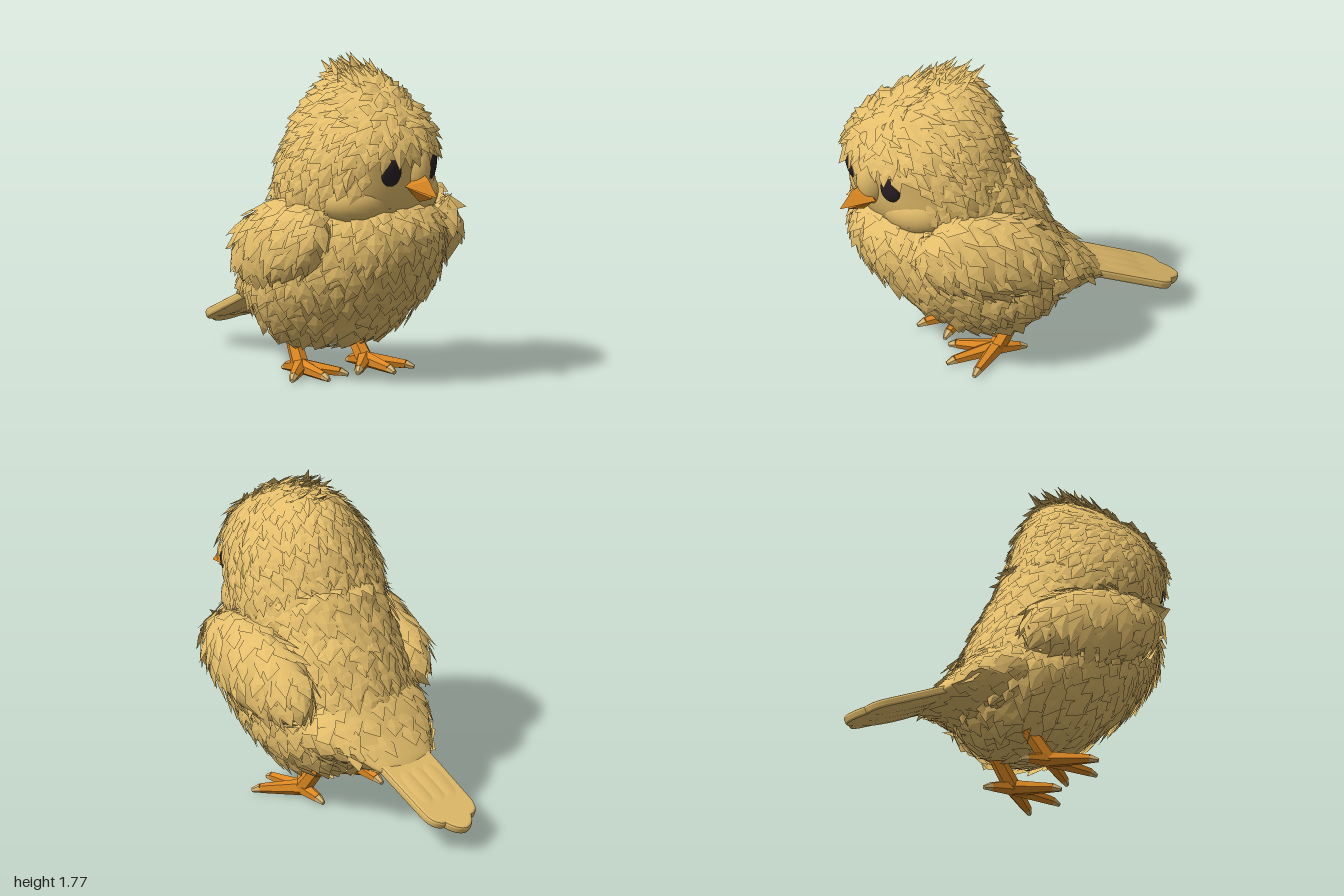
import * as THREE from 'three';
import { ParametricGeometry } from 'three/addons/geometries/ParametricGeometry.js';
import { ConvexGeometry } from 'three/addons/geometries/ConvexGeometry.js';

const V = (x, y, z) => new THREE.Vector3(x, y, z);

export function createModel() {
  const model = new THREE.Group();
  const mat = (name, color, opts = {}) => {
    const m = new THREE.MeshStandardMaterial({ color, ...opts });
    m.name = name;
    return m;
  };
  const plumage = mat('golden plumage', 0xe3bd6b, { side: THREE.DoubleSide });
  const orange = mat('orange skin', 0xdb8722);
  const claw = mat('pale claw', 0xd9b571);
  const dark = mat('dark eye', 0x2a2024);

  let seed = 7;
  const rand = () => (seed = (seed * 16807) % 2147483647) / 2147483647;
  const jitter = (a) => (rand() * 2 - 1) * a;

  const add = (name, geometry, material, parent = model) => {
    const m = new THREE.Mesh(geometry, material);
    m.name = name;
    parent.add(m);
    return m;
  };
  const flat = (g) => {
    const f = g.index ? g.toNonIndexed() : g;
    f.computeVertexNormals();
    return f;
  };

  // Surface through upright oval sections: [y, frontZ, backZ, minX, maxX]
  const ovalStack = (rows) => {
    const a = new THREE.CatmullRomCurve3(rows.map((r) => V(r[0], r[1], r[2])));
    const b = new THREE.CatmullRomCurve3(rows.map((r) => V(r[3], r[4], 0)));
    return (u, v) => {
      const p = a.getPoint(v), q = b.getPoint(v), t = u * Math.PI * 2;
      return V((q.x + q.y) / 2 + (q.y - q.x) / 2 * Math.sin(t), p.x,
        (p.y + p.z) / 2 + (p.y - p.z) / 2 * Math.cos(t));
    };
  };
  const normalAt = (S, u, v) => {
    const e = 0.004;
    const du = S(u + e, v).sub(S(u - e, v));
    const dv = S(u, Math.min(1, v + e)).sub(S(u, Math.max(0, v - e)));
    return du.cross(dv).normalize();
  };
  const addSkin = (name, S) =>
    add(name, new ParametricGeometry((u, v, t) => t.copy(S(u, v)), 40, 28), plumage);

  // One ridged, pointed feather lying on a surface
  const feather = (out, p, n, dir, len, wide, lift) => {
    const d = dir.clone().addScaledVector(n, -dir.dot(n)).normalize();
    const s = n.clone().cross(d);
    const at = (along, side, up) =>
      p.clone().addScaledVector(d, along).addScaledVector(s, side).addScaledVector(n, up);
    const root = at(-len * 0.5, 0, -0.006);
    const left = at(len * (0.08 + jitter(0.12)), -wide / 2, lift * 0.4);
    const right = at(len * (0.08 + jitter(0.12)), wide / 2, lift * 0.4);
    const ridge = at(len * 0.1, 0, lift * 0.7);
    const tip = at(len * 0.58, jitter(wide * 0.3), lift);
    for (const q of [root, left, ridge, root, ridge, right, left, tip, ridge, ridge, tip, right])
      out.push(q.x, q.y, q.z);
  };
  const addFeathers = (name, out) => {
    const g = new THREE.BufferGeometry();
    g.setAttribute('position', new THREE.Float32BufferAttribute(out, 3));
    g.computeVertexNormals();
    add(name, g, plumage);
  };
  // Staggered rows of feathers over a whole surface
  const coat = (name, S, rows, len, wide, lift, dir, skip = () => false) => {
    const out = [];
    for (let k = 0; k < rows; k++) {
      const v0 = (k + 0.5) / rows;
      let around = 0;
      for (let i = 0; i < 16; i++) around += S(i / 16, v0).distanceTo(S((i + 1) / 16, v0));
      const count = Math.max(4, Math.round(around / (wide * 0.85)));
      for (let i = 0; i < count; i++) {
        const u = (i + (k % 2) * 0.5 + jitter(0.3)) / count;
        const v = THREE.MathUtils.clamp(v0 + jitter(0.35) / rows, 0.01, 0.99);
        const p = S(u, v);
        if (skip(p)) continue;
        const way = dir.clone().add(V(jitter(0.25), jitter(0.15), jitter(0.25)));
        feather(out, p, normalAt(S, u, v), way, len * (1 + jitter(0.25)),
          wide * (1 + jitter(0.25)), lift * (1 + jitter(0.45)));
      }
    }
    addFeathers(name, out);
  };

  // Body
  const body = ovalStack([
    [0.17, 0.13, 0.11, -0.01, 0.01], [0.19, 0.3, -0.08, -0.25, 0.25],
    [0.28, 0.46, -0.22, -0.38, 0.38], [0.4, 0.59, -0.31, -0.46, 0.46],
    [0.5, 0.69, -0.31, -0.5, 0.5], [0.6, 0.765, -0.275, -0.51, 0.51],
    [0.7, 0.82, -0.24, -0.5, 0.5], [0.8, 0.85, -0.2, -0.48, 0.48],
    [0.9, 0.845, -0.16, -0.45, 0.44], [0.98, 0.79, -0.12, -0.42, 0.38],
    [1.1, 0.62, -0.06, -0.38, 0.34], [1.2, 0.5, -0.01, -0.3, 0.25], [1.24, 0.4, 0.38, -0.02, 0.0]]);
  addSkin('body', body);
  coat('bodyFeathers', body, 20, 0.145, 0.1, 0.026, V(0, -1, -0.45));

  // Rump narrowing into the tail: [z, topY, bottomY, halfWidth]
  const rumpRows = [[0.1, 0.74, 0.26, 0.43], [-0.15, 0.71, 0.27, 0.4], [-0.3, 0.6, 0.32, 0.32],
    [-0.4, 0.49, 0.32, 0.24], [-0.5, 0.39, 0.31, 0.165], [-0.53, 0.355, 0.335, 0.02]];
  const rumpA = new THREE.CatmullRomCurve3(rumpRows.map((r) => V(r[0], r[1], r[2])));
  const rumpB = new THREE.CatmullRomCurve3(rumpRows.map((r) => V(r[3], 0, 0)));
  const rump = (u, v) => {
    const p = rumpA.getPoint(v), w = rumpB.getPoint(v).x, t = u * Math.PI * 2;
    return V(w * Math.sin(t), (p.y + p.z) / 2 + (p.y - p.z) / 2 * Math.cos(t), p.x);
  };
  addSkin('rump', rump);
  coat('rumpFeathers', rump, 9, 0.15, 0.11, 0.015, V(0, -0.5, -1), (p) => p.z < -0.42);

  // Head
  const head = ovalStack([
    [0.88, 0.3, 0.28, -0.03, 0.0], [0.9, 0.7, 0.1, -0.32, 0.27],
    [0.97, 0.79, 0.0, -0.42, 0.36], [1.07, 0.835, -0.015, -0.46, 0.39],
    [1.2, 0.865, 0.0, -0.455, 0.38], [1.3, 0.885, 0.025, -0.425, 0.365],
    [1.4, 0.86, 0.05, -0.375, 0.335], [1.5, 0.78, 0.09, -0.3, 0.275],
    [1.6, 0.64, 0.15, -0.19, 0.18], [1.66, 0.5, 0.22, -0.1, 0.09],
    [1.68, 0.4, 0.38, -0.01, 0.01]]);
  addSkin('head', head);
  const bareFace = (p) => p.z > 0.6 && p.y < 1.28 && p.x > -0.23;
  coat('headFeathers', head, 19, 0.13, 0.075, 0.027, V(0, -0.9, -0.6), bareFace);

  // Smooth face: broad cheeks above the breast and a bridge behind the beak
  for (const [name, x, y, z, yaw, w, h, d] of [
    ['rightCheek', -0.2, 1.04, 0.67, -0.35, 0.2, 0.13, 0.14],
    ['leftCheek', 0.22, 1.04, 0.61, 0.75, 0.19, 0.13, 0.12],
    ['faceBridge', 0.09, 1.21, 0.79, 0.2, 0.085, 0.15, 0.105]]) {
    const bulge = add(name, new THREE.SphereGeometry(1, 20, 14), plumage);
    bulge.scale.set(w, h, d);
    bulge.position.set(x, y, z);
    bulge.rotation.y = yaw;
  }

  // Crest swept up and back over the crown
  const crest = [];
  for (let i = 0; i < 34; i++) {
    const x = jitter(0.12), z = 0.22 + rand() * 0.42;
    const y = 1.66 - 1.6 * x * x - 1.5 * (z - 0.38) ** 2;
    feather(crest, V(x, y + 0.01, z), V(x * 1.5 + jitter(0.2), 1, 0.4).normalize(),
      V(x + jitter(0.3), 0.5, -1), 0.18 + rand() * 0.08, 0.06, 0.03 + rand() * 0.025);
  }
  for (const [x, y, z] of [[-0.03, 1.68, 0.4], [0.0, 1.66, 0.36], [-0.11, 1.62, 0.4], [0.05, 1.63, 0.42],
    [0.1, 1.54, 0.64], [0.12, 1.48, 0.72], [0.08, 1.46, 0.76], [0.0, 1.63, 0.25]])
    feather(crest, V(x, y, z), V(0, 0.5, 0.85).normalize(), V(x * 2, 1, -0.6), 0.17, 0.07, 0.025);
  addFeathers('crest', crest);

  // Wings folded on both sides
  for (const s of [1, -1]) {
    const side = s > 0 ? 'left' : 'right';
    const turn = new THREE.Euler(-0.28, 0, s * 0.22);
    const wing = (u, v) => {
      const h = -Math.PI / 2 + 0.02 + v * (Math.PI - 0.04), t = u * Math.PI * 2;
      return V(0.15 * Math.cos(h) * Math.sin(t), 0.225 * Math.sin(h), 0.42 * Math.cos(h) * Math.cos(t))
        .applyEuler(turn).add(V(s * 0.425, 0.78, s > 0 ? 0.25 : 0.28));
    };
    addSkin(side + 'Wing', wing);
    coat(side + 'WingFeathers', wing, 8, 0.165, 0.095, 0.03, V(s * 0.1, -1, -0.6),
      (p) => Math.abs(p.x) < 0.3);
  }

  // Tail: three fused long feathers
  const outline = new THREE.Shape();
  outline.moveTo(-0.155, 0);
  outline.lineTo(0.155, 0);
  outline.lineTo(0.15, 0.42);
  outline.quadraticCurveTo(0.14, 0.5, 0.08, 0.5);
  outline.quadraticCurveTo(0.05, 0.57, 0, 0.575);
  outline.quadraticCurveTo(-0.05, 0.57, -0.08, 0.5);
  outline.quadraticCurveTo(-0.14, 0.5, -0.15, 0.42);
  const tailGeo = new THREE.ExtrudeGeometry(outline, {
    depth: 0.022, bevelEnabled: true, bevelSize: 0.016, bevelThickness: 0.014, bevelSegments: 2 });
  const tail = add('tail', tailGeo, plumage);
  tail.rotation.x = -Math.PI / 2 - 0.41;
  tail.position.set(0, 0.355, -0.45);
  for (const x of [-0.08, 0, 0.08]) {
    const vane = add('tailFeather', new THREE.SphereGeometry(1, 12, 8), plumage, tail);
    vane.scale.set(0.085, 0.27, 0.038);
    vane.position.set(x, 0.23, 0.005);
  }

  // Eyes set into the face
  for (const [name, u] of [['rightEye', -0.022], ['leftEye', 0.115]]) {
    const v = 0.408, p = head(u, v), n = normalAt(head, u, v);
    const eye = add(name, new THREE.SphereGeometry(1, 18, 12), dark);
    eye.scale.set(0.059, 0.077, 0.018);
    eye.position.copy(p).addScaledVector(n, -0.003);
    eye.position.y = 1.205;
    eye.lookAt(eye.position.clone().add(n));
  }

  // Beak
  add('upperBeak', flat(new ConvexGeometry([V(0.1, 1.2, 0.86), V(0, 1.12, 0.85), V(0.18, 1.12, 0.82),
    V(0.1, 1.16, 0.93), V(0.11, 1.07, 1), V(0.09, 1.1, 0.78)])), orange);
  add('lowerBeak', flat(new ConvexGeometry([V(0.02, 1.11, 0.84), V(0.16, 1.11, 0.82),
    V(0.09, 1.03, 0.85), V(0.11, 1.06, 0.95), V(0.09, 1.1, 0.78)])), orange);

  // Legs with three front toes and one back toe
  const limb = (name, a, b, ra, rb, material, parent) => {
    const m = add(name, flat(new THREE.CylinderGeometry(rb, ra, a.distanceTo(b), 6)), material, parent);
    m.position.copy(a).add(b).multiplyScalar(0.5);
    m.quaternion.setFromUnitVectors(V(0, 1, 0), b.clone().sub(a).normalize());
  };
  for (const s of [1, -1]) {
    const foot = new THREE.Group();
    foot.name = s > 0 ? 'leftLeg' : 'rightLeg';
    model.add(foot);
    const ankle = V(s * 0.205, 0.055, 0.13);
    limb('shin', V(s * 0.18, 0.26, -0.02), ankle, 0.04, 0.048, orange, foot);
    for (const [dx, z] of [[-0.145, 0.3], [0.005, 0.375], [0.155, 0.3], [0, 0]]) {
      const tip = V(s * (0.205 + dx), 0.034, z);
      const end = tip.clone().sub(ankle).setY(0).normalize().multiplyScalar(0.045).add(tip).setY(0.02);
      limb('toe', ankle, tip, 0.045, 0.026, orange, foot);
      limb('claw', tip, end, 0.026, 0.012, claw, foot);
    }
  }
  return model;
}
